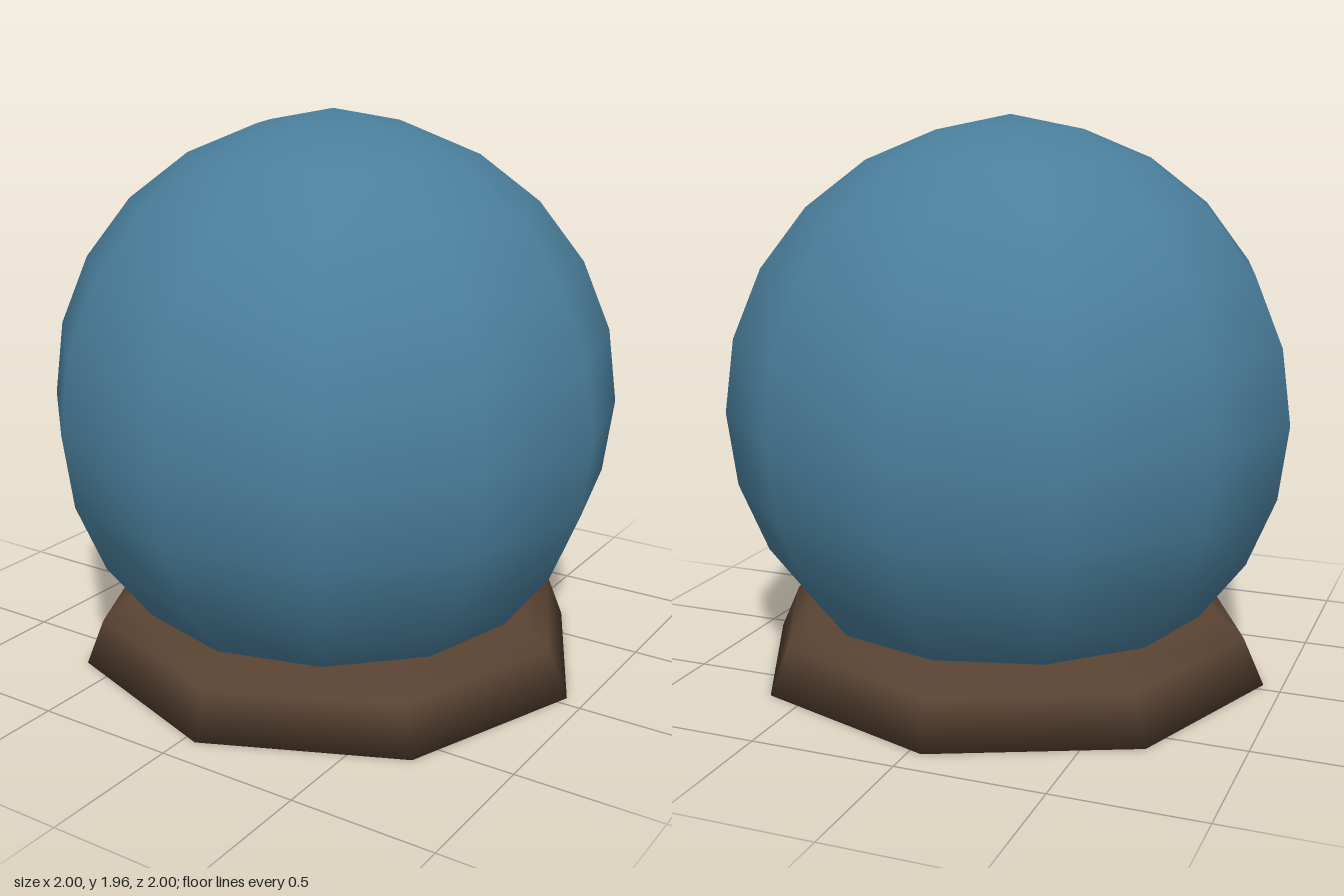
import * as THREE from 'three';

export function createModel() {
  const model = new THREE.Group();
  const glass = new THREE.MeshStandardMaterial({ color: 0x4a7f9c });
  glass.name = 'blue glass';
  glass.side = THREE.DoubleSide;
  const wood = new THREE.MeshStandardMaterial({ color: 0x5a4433 });
  wood.name = 'dark wood';

  // Globe: low-sided smooth ball, slightly peaked, cut off where it meets the base
  const ball = new THREE.SphereGeometry(1, 12, 9, 0, Math.PI * 2, 0, Math.PI * 0.75);
  const pos = ball.attributes.position;
  for (let i = 0; i < pos.count; i++) {
    if (pos.getY(i) > 0.99) pos.setY(i, 1.018);
  }
  const globe = new THREE.Mesh(ball, glass);
  globe.name = 'globe';
  globe.position.y = 0.944;
  model.add(globe);

  // Base: eight-sided bevelled plinth, turned a little and narrower in depth at the foot
  const profile = [[0, 0], [0.935, 0], [0.86, 0.165], [0.763, 0.237], [0, 0.237]];
  const plinth = new THREE.LatheGeometry(
    profile.map(([r, y]) => new THREE.Vector2(r, y)), 8, THREE.MathUtils.degToRad(2.7));
  const p = plinth.attributes.position;
  for (let i = 0; i < p.count; i++) {
    p.setZ(i, p.getZ(i) * (0.955 + 0.15 * p.getY(i)));
  }
  const base = new THREE.Mesh(plinth, wood);
  base.name = 'base';
  model.add(base);

  return model;
}
